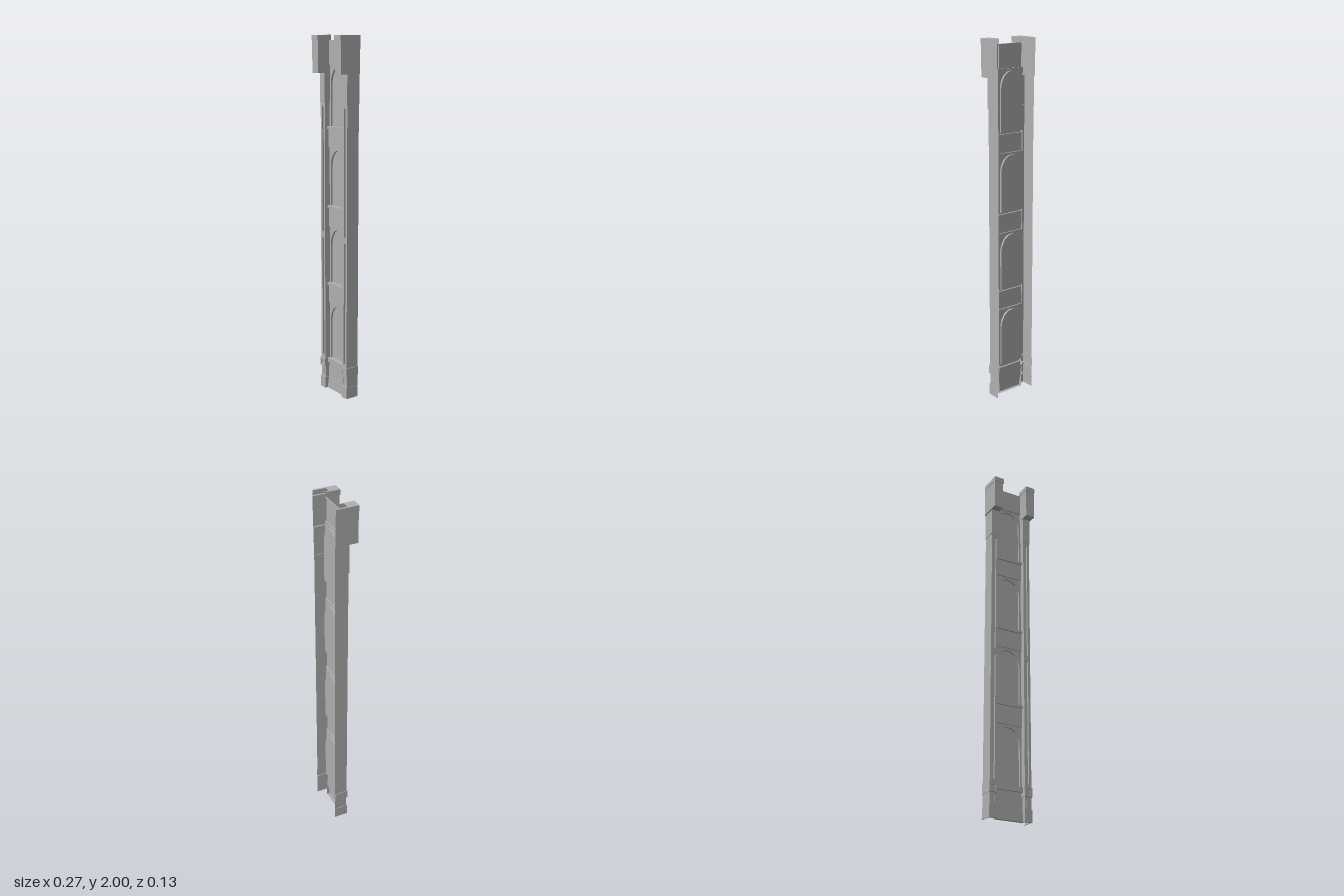
import * as THREE from 'three';

const stone = new THREE.MeshStandardMaterial({ color: 0xb0b0b0, side: THREE.DoubleSide });
stone.name = 'grey stone';

const WALL_Z = -0.02, BACK_Z = -0.064, CORE_X = 0.083, CORE_Z = 0.003, SHAFT_X = 0.122;

function add(parent, name, geometry) {
  const mesh = new THREE.Mesh(geometry, stone);
  mesh.name = name;
  parent.add(mesh);
  return mesh;
}

// Flat-faced sheet: a polyline of [x, y, z] points pushed along one direction
function sheet(points, dir) {
  const pos = [];
  for (let i = 0; i < points.length - 1; i++) {
    const a = points[i], b = points[i + 1];
    const a2 = a.map((v, k) => v + dir[k]), b2 = b.map((v, k) => v + dir[k]);
    pos.push(...a, ...b, ...b2, ...a, ...b2, ...a2);
  }
  const g = new THREE.BufferGeometry();
  g.setAttribute('position', new THREE.Float32BufferAttribute(pos, 3));
  g.computeVertexNormals();
  return g;
}

const rect = (x0, x1, y0, y1) => [[x0, y0], [x1, y0], [x1, y1], [x0, y1]];
const outline = (pts) => new THREE.Shape(pts.map(([x, y]) => new THREE.Vector2(x, y)));

// Upright panel with sunken openings, each with reveals and a back face
function recessedPanel(parent, name, face, holes, z, depth) {
  const shape = outline(face);
  holes.forEach((h) => shape.holes.push(outline(h)));
  add(parent, name, new THREE.ShapeGeometry(shape).translate(0, 0, z));
  holes.forEach((h) => {
    const loop = [...h, h[0]].map(([x, y]) => [x, y, z]);
    add(parent, name + 'Reveal', sheet(loop, [0, 0, -depth]));
    add(parent, name + 'Recess', new THREE.ShapeGeometry(outline(h)).translate(0, 0, z - depth));
  });
}

// One stage of a pier: outer side, front, inner return and ledges at both ends
function pierStage(parent, name, { y0, y1, xo, xi, zf, holes = [], depth = 0.006 }) {
  const h = [0, y1 - y0, 0];
  add(parent, name + 'Outer', sheet([[xo, y0, zf], [xo, y0, BACK_Z]], h));
  add(parent, name + 'Inner', sheet([[xi, y0, WALL_Z], [xi, y0, zf]], h));
  recessedPanel(parent, name + 'Front', rect(xi, xo, y0, y1), holes, zf, depth);
  const ring = outline([
    [xo, BACK_Z], [xo, zf], [xi, zf], [xi, WALL_Z], [CORE_X - 0.0005, WALL_Z],
    [CORE_X - 0.0005, CORE_Z], [SHAFT_X - 0.0005, CORE_Z], [SHAFT_X - 0.0005, BACK_Z],
  ]);
  for (const y of [y0, y1]) {
    const g = new THREE.ShapeGeometry(ring).rotateX(Math.PI / 2).translate(0, y, 0);
    // the upper ledge faces up
    if (y === y1) {
      const idx = g.index.array;
      for (let i = 0; i < idx.length; i += 3) [idx[i], idx[i + 1]] = [idx[i + 1], idx[i]];
      g.computeVertexNormals();
    }
    add(parent, name + 'Ledge', g);
  }
}

function makePier(name) {
  const pier = new THREE.Group();
  pier.name = name;
  pierStage(pier, 'plinth', { y0: 0, y1: 0.065, xo: 0.125, xi: 0.08, zf: 0.015 });
  pierStage(pier, 'pedestal', {
    y0: 0.065, y1: 0.13, xo: SHAFT_X, xi: CORE_X, zf: 0.01,
    holes: [rect(0.089, 0.094, 0.08, 0.118)],
  });
  pierStage(pier, 'pedestalCap', {
    y0: 0.13, y1: 0.18, xo: 0.126, xi: 0.079, zf: 0.017,
    holes: [rect(0.089, 0.114, 0.142, 0.168)],
  });
  pierStage(pier, 'shaft', {
    y0: 0.18, y1: 1.64, xo: SHAFT_X, xi: CORE_X, zf: 0.012, depth: 0.011,
    holes: [rect(0.094, 0.108, 0.197, 0.89), rect(0.094, 0.108, 0.925, 1.62)],
  });
  pierStage(pier, 'neck', { y0: 1.64, y1: 1.8, xo: 0.125, xi: 0.08, zf: 0.015 });
  pierStage(pier, 'bracket', { y0: 1.8, y1: 1.97, xo: 0.131, xi: 0.078, zf: 0.06 });
  pierStage(pier, 'bracketCap', { y0: 1.97, y1: 2, xo: 0.133, xi: 0.075, zf: 0.063 });
  return pier;
}

// Horizontal moulding across the bay from a [y, z] profile
function moulding(parent, name, profile) {
  add(parent, name, sheet(profile.map(([y, z]) => [-CORE_X, y, z]), [2 * CORE_X, 0, 0]));
}

function makeBay() {
  const bay = new THREE.Group();
  bay.name = 'windowBay';
  const sills = [0.18, 0.63, 1.073, 1.512];
  const heads = [0.513, 0.955, 1.398, 1.845];

  sills.forEach((sill, i) => {
    const head = heads[i], top = head - 0.012, b = sill + 0.001;
    // arched window sunk into the wall
    const arch = [
      [-0.072, b], [0.072, b], [0.072, top - 0.085], [0.066, top - 0.055], [0.047, top - 0.021],
      [0.022, top - 0.004], [0, top], [-0.022, top - 0.004], [-0.047, top - 0.021],
      [-0.066, top - 0.055], [-0.072, top - 0.085],
    ];
    recessedPanel(bay, 'archedWindow', rect(-CORE_X, CORE_X, sill, head), [arch], WALL_Z, 0.011);

    // spandrel above the window, with the next sill on top of it
    if (i < 3) {
      const next = sills[i + 1];
      moulding(bay, 'spandrel', [
        [head, WALL_Z], [head, -0.013], [next - 0.014, -0.013],
        [next - 0.014, -0.003], [next, -0.003], [next, WALL_Z],
      ]);
    }
  });

  moulding(bay, 'frieze', [[1.845, WALL_Z], [1.845, -0.013], [1.973, -0.013], [1.973, WALL_Z]]);
  moulding(bay, 'bayBase', [
    [0, WALL_Z], [0, -0.002], [0.025, -0.002], [0.025, -0.006], [0.05, -0.006],
    [0.05, -0.01], [0.065, -0.01], [0.065, -0.014], [0.155, -0.014],
    [0.155, -0.003], [0.18, -0.003], [0.18, WALL_Z],
  ]);
  return bay;
}

export function createModel() {
  const model = new THREE.Group();
  model.name = 'facadeStrip';
  model.add(makeBay());
  const right = makePier('rightPier');
  right.scale.x = -1;
  model.add(makePier('leftPier'), right);
  return model;
}
